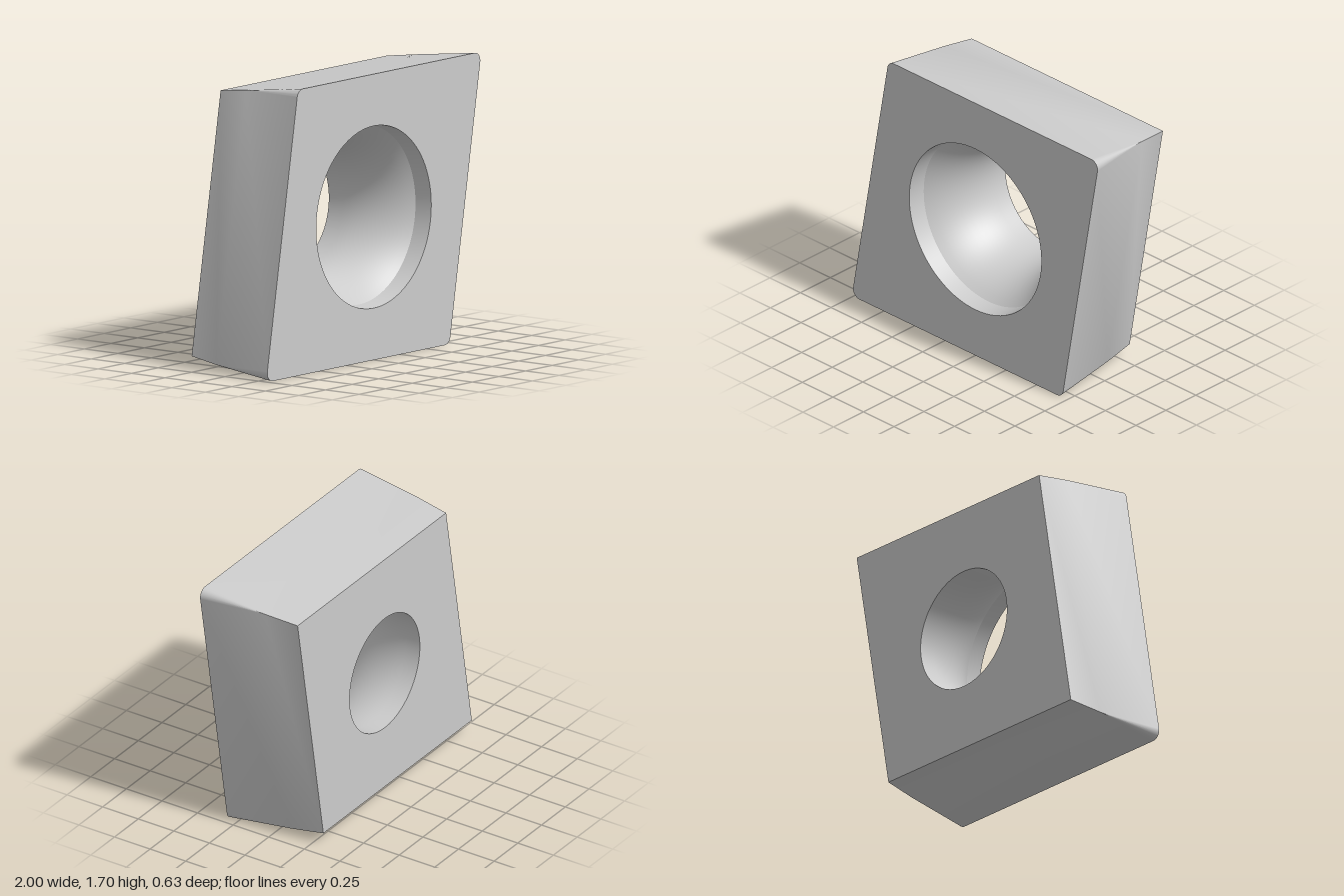
import * as THREE from 'three';
import { toCreasedNormals } from 'three/addons/utils/BufferGeometryUtils.js';

const LEAN = THREE.MathUtils.degToRad(10);
const CENTRE_Y = 0.8475;
const FRONT = 0.315, BACK = -0.315;
const STEPS = 10;

// Rounded rhombus, anticlockwise: half is the inner radius, r the corner radius
function outline(half, r) {
  const m = half - r, w = m / Math.cos(LEAN), s = m * Math.tan(LEAN);
  const corners = [
    [w + s, m, -LEAN, Math.PI / 2],
    [-w + s, m, Math.PI / 2, Math.PI - LEAN],
    [-w - s, -m, Math.PI - LEAN, Math.PI * 1.5],
    [w - s, -m, Math.PI * 1.5, Math.PI * 2 - LEAN],
  ];
  const points = [];
  for (const [x, y, from, to] of corners) {
    for (let i = 0; i <= STEPS; i++) {
      const a = from + (to - from) * i / STEPS;
      points.push(new THREE.Vector2(x + r * Math.cos(a), y + r * Math.sin(a)));
    }
  }
  return points;
}

// Flat face with a round hole, turned to face outwards
function face(points, holeRadius, z) {
  const shape = new THREE.Shape(points);
  shape.holes.push(new THREE.Path().absarc(0, 0, holeRadius, 0, Math.PI * 2, true));
  const geometry = new THREE.ShapeGeometry(shape, 48);
  if (z < 0) {
    geometry.index.array.reverse();
    geometry.computeVertexNormals();
  }
  return geometry.translate(0, 0, z);
}

// Tapered walls joining the cross-sections from front to back
function walls(sections) {
  const positions = [];
  for (let k = 0; k + 1 < sections.length; k++) {
    const f = sections[k], b = sections[k + 1], n = f.points.length;
    for (let i = 0; i < n; i++) {
      const j = (i + 1) % n;
      const A = [f.points[i].x, f.points[i].y, f.z], B = [f.points[j].x, f.points[j].y, f.z];
      const C = [b.points[j].x, b.points[j].y, b.z], D = [b.points[i].x, b.points[i].y, b.z];
      // Sharp corners have no width, so their empty triangles are left out
      if (f.points[i].distanceTo(f.points[j]) > 1e-6) positions.push(...A, ...D, ...B);
      if (b.points[i].distanceTo(b.points[j]) > 1e-6) positions.push(...B, ...D, ...C);
    }
  }
  const geometry = new THREE.BufferGeometry();
  geometry.setAttribute('position', new THREE.Float32BufferAttribute(positions, 3));
  return toCreasedNormals(geometry, 0.5);
}

// Screw hole: short lip, curved countersink, straight bore
function screwHole() {
  const profile = [new THREE.Vector2(0.54, FRONT), new THREE.Vector2(0.53, 0.205)];
  const end = THREE.MathUtils.degToRad(42), R = 0.16 / (1 - Math.cos(end));
  const start = 0.205 - R * Math.sin(end);
  for (let i = 9; i >= 0; i--) {
    const a = end * i / 10;
    profile.push(new THREE.Vector2(0.37 + R * (1 - Math.cos(a)), start + R * Math.sin(a)));
  }
  profile.push(new THREE.Vector2(0.37, BACK));
  return toCreasedNormals(new THREE.LatheGeometry(profile, 96).rotateX(Math.PI / 2), 0.4);
}

export function createModel() {
  const group = new THREE.Group();
  group.name = 'rhombicInsert';
  const material = new THREE.MeshStandardMaterial({ color: 0xcccccc });
  const add = (name, geometry) => {
    const mesh = new THREE.Mesh(geometry, material);
    mesh.name = name;
    mesh.position.y = CENTRE_Y;
    group.add(mesh);
  };

  // Corner rounding shrinks with the taper until the corners become sharp
  const radius = 0.052, taper = (0.8475 - 0.77) / (FRONT - BACK);
  const sections = [
    { points: outline(0.8475, radius), z: FRONT },
    { points: outline(0.8475 - radius, 0), z: FRONT - radius / taper },
    { points: outline(0.77, 0), z: BACK },
  ];
  add('taperedWalls', walls(sections));
  add('frontFace', face(sections[0].points, 0.54, FRONT));
  // One point per sharp corner is enough for the back
  add('backFace', face(sections[2].points.filter((p, i) => i % (STEPS + 1) === 0), 0.37, BACK));
  add('screwHole', screwHole());
  return group;
}
